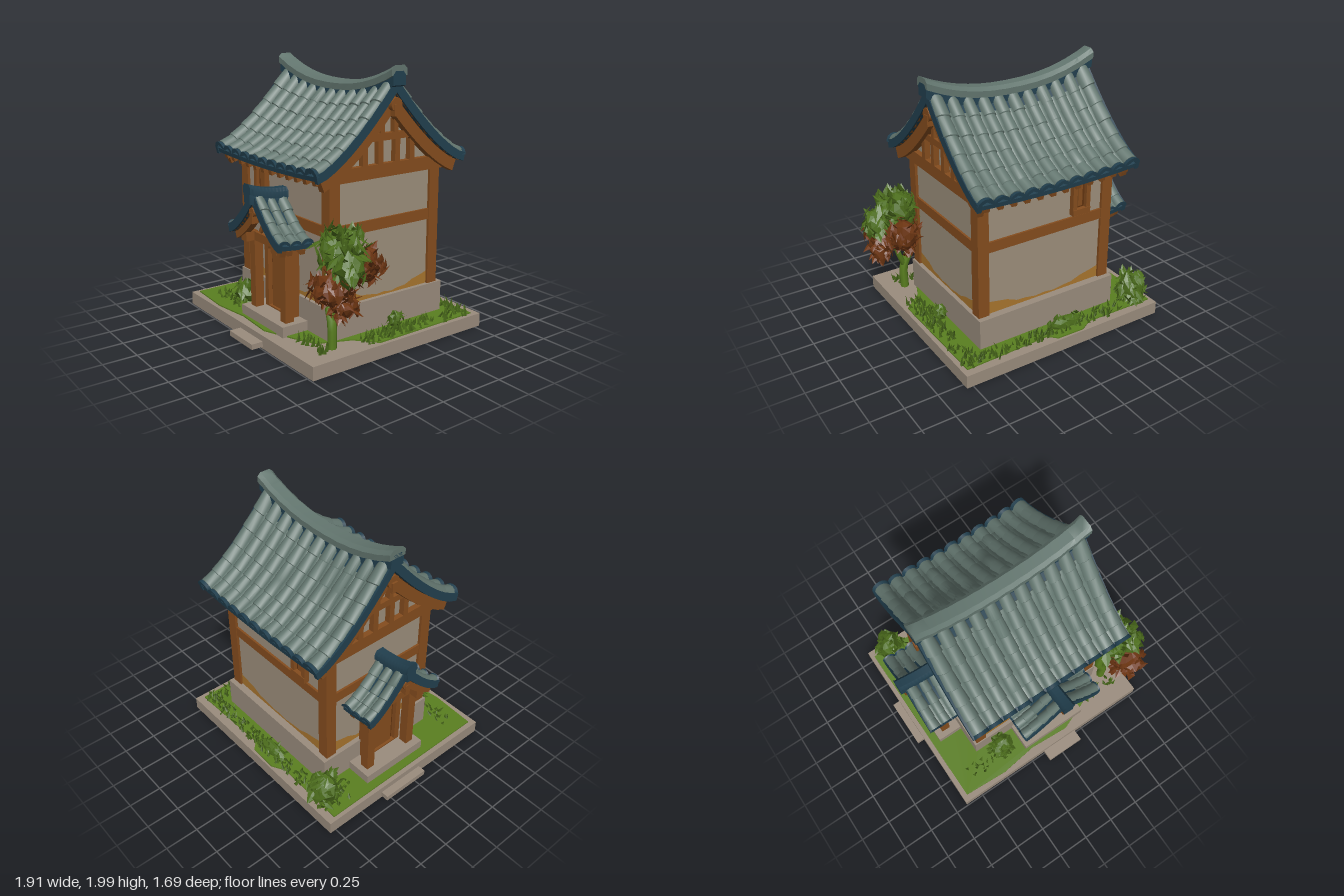
import * as THREE from 'three';
import { mergeGeometries, toCreasedNormals } from 'three/addons/utils/BufferGeometryUtils.js';

const mat = (name, color) => new THREE.MeshStandardMaterial({ name, color, side: THREE.DoubleSide });
const M = {
  stone: mat('stone', 0x9a8c7d), plaster: mat('plaster', 0x9d8f7c), wood: mat('wood', 0x854d1e),
  darkWood: mat('dark wood', 0x62330f), tile: mat('roof tile', 0x63766f), slate: mat('dark slate', 0x22404f),
  grass: mat('grass', 0x5a7f20), leaf: mat('leaf', 0x4c6d1c), rust: mat('rust leaf', 0x6c3512), ochre: mat('ochre stain', 0xa8752e),
};

let seed = 7;
const rnd = (a = 0, b = 1) => {
  seed = (seed * 16807) % 2147483647;
  return a + (b - a) * seed / 2147483647;
};
const range = (n, f) => Array.from({ length: n }, (_, i) => f(i));

function add(parent, name, geo, material) {
  const m = new THREE.Mesh(geo, material);
  m.name = name;
  parent.add(m);
  return m;
}
// Box given by its minimum and maximum corners
function box(parent, name, material, x0, x1, y0, y1, z0, z1) {
  const m = add(parent, name, new THREE.BoxGeometry(x1 - x0, y1 - y0, z1 - z0), material);
  m.position.set((x0 + x1) / 2, (y0 + y1) / 2, (z0 + z1) / 2);
  return m;
}
// Skin over a row of cross-sections, each a list of [x, y, z]; both ends are capped
function loft(rings) {
  const mid = r => r.map(() => [0, 1, 2].map(k => r.reduce((s, p) => s + p[k], 0) / r.length));
  const rs = [mid(rings[0]), ...rings, mid(rings[rings.length - 1])];
  const pos = [];
  for (let i = 0; i + 1 < rs.length; i++) for (let j = 0; j + 1 < rs[i].length; j++) {
    const [a, b, c, d] = [rs[i][j], rs[i][j + 1], rs[i + 1][j + 1], rs[i + 1][j]];
    pos.push(...a, ...b, ...c, ...a, ...c, ...d);
  }
  const g = new THREE.BufferGeometry();
  g.setAttribute('position', new THREE.Float32BufferAttribute(pos, 3));
  return toCreasedNormals(g, 0.7);
}

// Curved gable roof with its ridge along x
function gableRoof(o) {
  const g = new THREE.Group();
  const sy = (x, t) => o.eave + (o.ridge - o.eave) * Math.pow(1 - t, 1.45) +
    (0.02 + o.lift * (1 - t)) * Math.pow(x / o.x1, 2);
  const at = (s, x, t, h) => {
    const u = Math.min(t + 0.01, 1);
    const dy = (sy(x, u) - sy(x, u - 0.02)) / 0.02;
    const len = Math.hypot(dy, o.half);
    return [x, sy(x, Math.min(t, 1)) + h * o.half / len, s * (o.half * t - h * dy / len)];
  };
  const steps = (t0, t1, n) => range(n + 1, i => t0 + (t1 - t0) * i / n);
  const band = (s, name, m, xa, xb, ha, hb, t0 = 0, t1 = 1) => add(g, name, loft(steps(t0, t1, 10).map(t =>
    [[xa, ha], [xb, ha], [xb, hb], [xa, hb], [xa, ha]].map(([x, h]) => at(s, x, t, h)))), m);
  // Rounded run of overlapping tiles down the slope
  const run = (s, name, m, x, w, h, t0, t1, n) => {
    const rings = [];
    for (let k = 0; k < n; k++) for (const [f, grow] of [[0, 0.93], [0.96, 1.06]]) {
      const t = t0 + (t1 - t0) * (k + f) / n, r = grow * rnd(0.96, 1.04);
      rings.push(range(9, i => at(s, x + w * r * Math.cos(Math.PI * i / 8), t, h * r * Math.sin(Math.PI * i / 8) + 0.004)));
    }
    add(g, name, loft(rings), m);
  };
  for (const s of [1, -1]) {
    const strips = 8;
    for (let i = 0; i < strips; i++) {
      const xa = o.x0 + (o.x1 - o.x0) * i / strips, xb = o.x0 + (o.x1 - o.x0) * (i + 1) / strips;
      band(s, 'roofDeck', M.slate, xa, xb, 0.008, -0.025);
      band(s, 'roofLining', M.wood, xa, xb, -0.025, -0.04, 0, 0.96);
    }
    const gap = (o.x1 - o.x0 - 2 * o.r) / (o.cols - 1);
    for (let i = 0; i < o.cols; i++) {
      const x = o.x0 + o.r + gap * i, edge = i === 0 || i === o.cols - 1 ? 1.15 : 1;
      run(s, 'tileRun', M.tile, x, o.r * edge, o.r * edge, 0.02, 0.97, o.rows);
      run(s, 'eaveCap', M.slate, x, o.r * 1.12 * edge, o.r * 1.05 * edge, 0.965, 1.015, 1);
      if (i < o.cols - 1) run(s, 'panTiles', M.tile, x + gap / 2, o.r * 0.6, o.r * 0.4, o.pan, 0.96, o.rows);
    }
    for (let x = o.x0 + 0.06; x < o.x1 - 0.03; x += 0.105)
      band(s, 'rafterTail', M.wood, x - 0.018, x + 0.022, -0.035, -0.075, 0.7, 0.97);
    for (const e of o.ends) {
      const x = e > 0 ? o.x1 : o.x0;
      band(s, 'gableTrim', M.slate, x - 0.02, x + 0.012, 0.022, -0.04, 0, 1.01);
      band(s, 'bargeboard', M.wood, x - e * 0.075, x - e * 0.025, -0.03, -0.03 - o.board, 0, 0.95);
    }
  }
  // Ridge: dark bed below, upswept rounded cap above
  const a = o.ends.length > 1 ? o.x0 - o.out : o.x0, b = o.x1 + o.out;
  const ridge = (name, m, w, lo, hi) => add(g, name, loft(range(23, i => {
    const x = a + (b - a) * i / 22, y = o.ridge + o.sweep * Math.pow(Math.abs(x / b), 2.3);
    const k = i % 2 ? 1 : 1.06;
    return [[-1, lo], [1, lo], [1, hi - 0.025], [0.6, hi], [-0.6, hi], [-1, hi - 0.025], [-1, lo]].map(
      ([z, h]) => [x, y + h, z * w * k]);
  })), m);
  ridge('ridgeBed', M.slate, o.rw * 0.8, -0.06, o.cap - 0.04);
  ridge('ridgeCap', o.ridgeMat, o.rw, o.cap - 0.07, o.cap);
  for (const e of o.ends) {
    const x = e > 0 ? o.x1 : o.x0, y = o.ridge + o.lift * 0.6;
    const d = add(g, 'gableOrnament', new THREE.CylinderGeometry(o.rw * 0.75, o.rw * 0.75, 0.06, 10), M.wood);
    d.rotation.z = Math.PI / 2;
    d.position.set(x - e * 0.015, y - 0.09, 0);
    box(g, 'ornamentDrop', M.wood, x - 0.03, x + 0.02, y - 0.17, y - 0.09, -o.rw * 0.35, o.rw * 0.35);
  }
  // Plaster infill below the slopes
  const zs = range(13, i => o.infill * (1 - i / 6));
  const sh = new THREE.Shape([[-o.infill, o.infillY], [o.infill, o.infillY],
    ...zs.map(z => [z, sy(0, Math.abs(z) / o.half) - 0.045])].map(p => new THREE.Vector2(...p)));
  const fill = new THREE.ExtrudeGeometry(sh, { depth: o.f1 - o.f0, bevelEnabled: false });
  add(g, 'gableWall', fill.rotateY(-Math.PI / 2).translate(o.f1, 0, 0), M.plaster);
  return g;
}

// Gabled porch reaching out from a wall along its own +x
function porch() {
  const g = gableRoof({ x0: 0, x1: 0.265, half: 0.335, eave: 0.765, ridge: 1.035, lift: 0.03, sweep: 0.06, cap: 0.08, out: 0.05,
    rw: 0.045, ridgeMat: M.slate, cols: 3, r: 0.037, rows: 4, pan: 0.5, ends: [1], board: 0.06, infill: 0.24, infillY: 0.72, f0: 0, f1: 0.13 });
  box(g, 'porchPlatform', M.stone, 0, 0.215, 0.1, 0.18, -0.28, 0.28);
  for (const s of [1, -1]) {
    box(g, 'porchPost', M.wood, 0.09, 0.16, 0.18, 0.72, s * 0.2 - 0.034, s * 0.2 + 0.034);
    box(g, 'porchSideBeam', M.wood, 0, 0.23, 0.7, 0.77, s * 0.2 - 0.035, s * 0.2 + 0.035);
    const strut = box(g, 'porchStrut', M.wood, 0.12, 0.15, 0.76, 0.92, s * 0.07 - 0.015, s * 0.07 + 0.015);
    strut.rotation.x = -s * 0.5;
  }
  box(g, 'porchTieBeam', M.wood, 0.1, 0.16, 0.7, 0.765, -0.27, 0.27);
  // Arched door
  const arch = (w, y0, y1) => new THREE.Shape().moveTo(-w, y0).lineTo(w, y0).lineTo(w, y1 - w * 0.5)
    .quadraticCurveTo(w * 0.85, y1, 0, y1).quadraticCurveTo(-w * 0.85, y1, -w, y1 - w * 0.5).closePath();
  const frame = new THREE.Shape([[-0.175, 0.18], [0.175, 0.18], [0.175, 0.72], [-0.175, 0.72]].map(p => new THREE.Vector2(...p)));
  frame.holes.push(arch(0.13, 0.19, 0.69));
  const slab = (name, sh, d, m) => add(g, name,
    new THREE.ExtrudeGeometry(sh, { depth: d, bevelEnabled: false }).rotateY(Math.PI / 2), m);
  slab('doorFrame', frame, 0.07, M.wood);
  slab('doorRecess', arch(0.14, 0.185, 0.7), 0.035, M.darkWood);
  slab('doorLeaf', arch(0.105, 0.19, 0.645), 0.05, M.wood);
  return g;
}

// Leaves scattered in an ellipsoid around a rough core
function foliage(parent, name, m, c, r, n, size) {
  const core = new THREE.IcosahedronGeometry(1, 1), p = core.attributes.position;
  for (let i = 0; i < p.count; i++) {
    const k = 0.74 + 0.12 * Math.sin(p.getX(i) * 9 + p.getY(i) * 7 + p.getZ(i) * 5 + c[0] * 20);
    p.setXYZ(i, p.getX(i) * r[0] * k, p.getY(i) * r[1] * k, p.getZ(i) * r[2] * k);
  }
  core.computeVertexNormals();
  const parts = [core];
  for (let i = 0; i < n; i++) {
    const y = rnd(-1, 1), a = rnd(0, 6.283), q = Math.sqrt(1 - y * y), k = rnd(0.62, 0.95);
    const leaf = new THREE.OctahedronGeometry(size * rnd(0.7, 1.2)).scale(0.6, 1.2, 0.13);
    leaf.rotateX(rnd(-1.2, 1.2)).rotateY(a + rnd(-0.8, 0.8));
    parts.push(leaf.translate(q * Math.sin(a) * r[0] * k, y * r[1] * k, q * Math.cos(a) * r[2] * k));
  }
  add(parent, name, mergeGeometries(parts).translate(...c), m);
}
// Grass blades scattered over a rectangle of ground
function tufts(parent, x0, x1, z0, z1, n) {
  add(parent, 'grassTufts', mergeGeometries(range(n, () => new THREE.ConeGeometry(rnd(0.01, 0.022), rnd(0.05, 0.1), 3)
    .rotateZ(rnd(-0.5, 0.5)).rotateX(rnd(-0.5, 0.5)).translate(rnd(x0, x1), 0.125, rnd(z0, z1)))), M.leaf);
}

export function createModel() {
  const root = new THREE.Group();
  root.name = 'tiledHouse';
  // Ground slab with a shallow recess below, steps and lawn
  box(root, 'baseSlab', M.stone, -0.9, 0.8, 0.02, 0.1, -0.8, 0.74);
  for (const x of [-0.9, 0.785]) box(root, 'baseRim', M.stone, x, x + 0.015, 0, 0.02, -0.8, 0.74);
  for (const z of [-0.8, 0.725]) box(root, 'baseRim', M.stone, -0.885, 0.785, 0, 0.02, z, z + 0.015);
  box(root, 'frontStep', M.stone, -0.13, 0.18, 0.015, 0.055, 0.74, 0.83);
  box(root, 'sideStep', M.stone, -0.96, -0.9, 0.015, 0.055, -0.3, 0.09);
  const lawn = new THREE.Shape([[-0.87, -0.74], [-0.3, -0.73], [-0.2, -0.785], [0.02, -0.78], [0.08, -0.72], [0.76, -0.74], [0.77, 0.15],
    [0.62, 0.28], [0.52, 0.52], [0.35, 0.6], [0.12, 0.69], [-0.2, 0.67], [-0.5, 0.71], [-0.86, 0.69]].map(([x, z]) => new THREE.Vector2(x, -z)));
  add(root, 'lawn', new THREE.ExtrudeGeometry(lawn, { depth: 0.009, bevelEnabled: false }).rotateX(-Math.PI / 2).translate(0, 0.1, 0), M.grass);
  for (const [x, z, rx, rz] of [[0.24, 0.42, 0.16, 0.13], [0.12, 0.28, 0.2, 0.08], [0.25, -0.67, 0.1, 0.05], [-0.18, -0.66, 0.08, 0.05], [-0.18, -0.13, 0.08, 0.07]])
    add(root, 'mossPatch', new THREE.CylinderGeometry(1, 1, 0.004, 9).scale(rx, 1, rz).translate(x, 0.019, z), M.grass);

  // House body
  const house = new THREE.Group();
  house.name = 'house';
  house.position.set(-0.0125, 0, -0.065);
  root.add(house);
  box(house, 'plinth', M.stone, -0.59, 0.585, 0.1, 0.34, -0.535, 0.505);
  box(house, 'walls', M.plaster, -0.55, 0.55, 0.34, 1.25, -0.475, 0.475);
  for (const x of [-1, 1]) for (const z of [-1, 1])
    box(house, 'cornerPost', M.wood, x * 0.527 - 0.044, x * 0.527 + 0.044, 0.34, 1.27, z * 0.452 - 0.044, z * 0.452 + 0.044);
  range(4, i => {
    const side = new THREE.Group(), [w, d] = i % 2 ? [0.45, 0.55] : [0.525, 0.475];
    side.name = 'wallSide';
    side.rotation.y = i * Math.PI / 2;
    house.add(side);
    box(side, 'middleBeam', M.wood, -w, w, 0.84, 0.92, d - 0.02, d + 0.016);
    box(side, 'topBeam', M.wood, -w, w, 1.22, 1.29, d - 0.02, d + 0.016);
    const e = w - 0.04;
    const edge = [0.1, 0.085, 0.07, 0.035, 0.03, 0.015, 0.022, 0.012, 0.025, 0.03, 0.06, 0.075, 0.095];
    const stain = new THREE.Shape([[-e, 0], ...edge.map((h, k) => [-e + 2 * e * k / 12, h]), [e, 0]].map(p => new THREE.Vector2(...p)));
    add(side, 'wallStain', new THREE.ShapeGeometry(stain).translate(0, 0.34, d + 0.003), M.ochre);
    if (i % 2) return;
    // Narrow window near the side porch
    const x = i ? 0.285 : -0.285;
    box(side, 'windowPane', M.darkWood, x - 0.06, x + 0.06, 0.96, 1.25, d, d + 0.012);
    for (const s of [-1, 1]) box(side, 'windowJamb', M.wood, x + s * 0.058 - 0.018, x + s * 0.058 + 0.018, 0.94, 1.26, d, d + 0.04);
    box(side, 'windowSill', M.wood, x - 0.075, x + 0.075, 0.94, 0.985, d, d + 0.045);
    box(side, 'windowPanel', M.wood, x - 0.018, x + 0.018, 1.0, 1.18, d, d + 0.02);
  });

  // Main roof and gable timbers
  const roof = gableRoof({ x0: -0.65, x1: 0.65, half: 0.655, eave: 1.28, ridge: 1.77, lift: 0.075, sweep: 0.145, cap: 0.075, out: 0.035,
    rw: 0.065, ridgeMat: M.tile, cols: 11, r: 0.049, rows: 6, pan: 0.14, ends: [1, -1], board: 0.095, infill: 0.47, infillY: 1.22, f0: -0.55, f1: 0.55 });
  roof.name = 'mainRoof';
  house.add(roof);
  for (const s of [1, -1]) {
    const beam = (name, y0, y1, z0, z1) => box(roof, name, M.wood, s * 0.568 - 0.025, s * 0.568 + 0.025, y0, y1, z0, z1);
    beam('gableTieBeam', 1.22, 1.315, -0.5, 0.5);
    beam('gableCollar', 1.475, 1.525, -0.22, 0.22);
    for (const z of [-0.21, -0.075, 0.075, 0.21]) beam('gableStud', 1.31, 1.48, z - 0.022, z + 0.022);
    for (const z of [-0.06, 0.06]) beam('gableUpperStud', 1.52, 1.62, z - 0.018, z + 0.018);
  }
  // Porches at the front and the side
  const front = porch(), side = porch();
  front.name = 'frontPorch';
  front.rotation.y = -Math.PI / 2;
  front.position.set(0.025, 0, 0.435);
  side.name = 'sidePorch';
  side.rotation.y = Math.PI;
  side.position.set(-0.588, 0, -0.075);
  root.add(front, side);

  // Tree
  const limb = (pts, r) => add(root, 'treeTrunk', new THREE.TubeGeometry(
    new THREE.CatmullRomCurve3(pts.map(p => new THREE.Vector3(...p))), 8, r, 7), M.grass);
  limb([[0.64, 0.1, 0.47], [0.64, 0.28, 0.47], [0.59, 0.42, 0.46], [0.6, 0.62, 0.46]], 0.034);
  limb([[0.63, 0.28, 0.47], [0.69, 0.42, 0.44], [0.74, 0.62, 0.42]], 0.022);
  foliage(root, 'treeCrown', M.leaf, [0.69, 0.82, 0.43], [0.2, 0.16, 0.19], 110, 0.055);
  foliage(root, 'treeCrown', M.leaf, [0.82, 0.72, 0.47], [0.13, 0.14, 0.14], 60, 0.05);
  foliage(root, 'rustFoliage', M.rust, [0.75, 0.58, 0.54], [0.17, 0.13, 0.2], 90, 0.05);
  foliage(root, 'rustFoliage', M.rust, [0.72, 0.68, 0.25], [0.14, 0.15, 0.14], 70, 0.045);
  foliage(root, 'rustFoliage', M.rust, [0.82, 0.47, 0.5], [0.09, 0.1, 0.13], 40, 0.045);
  // Bushes and grass
  foliage(root, 'backBush', M.leaf, [-0.72, 0.25, -0.7], [0.12, 0.17, 0.13], 70, 0.045);
  foliage(root, 'frontBush', M.leaf, [-0.41, 0.2, 0.52], [0.12, 0.12, 0.1], 50, 0.04);
  foliage(root, 'sideBush', M.leaf, [0.63, 0.17, -0.1], [0.06, 0.08, 0.07], 20, 0.03);
  foliage(root, 'backShrub', M.leaf, [-0.1, 0.15, -0.69], [0.16, 0.07, 0.06], 30, 0.03);
  tufts(root, 0.64, 0.76, -0.73, 0.25, 120);
  tufts(root, -0.62, 0.74, -0.75, -0.64, 120);
  tufts(root, -0.82, -0.65, -0.74, -0.45, 25);
  tufts(root, -0.75, -0.3, 0.5, 0.62, 35);
  tufts(root, 0.34, 0.7, 0.5, 0.6, 25);
  return root;
}
